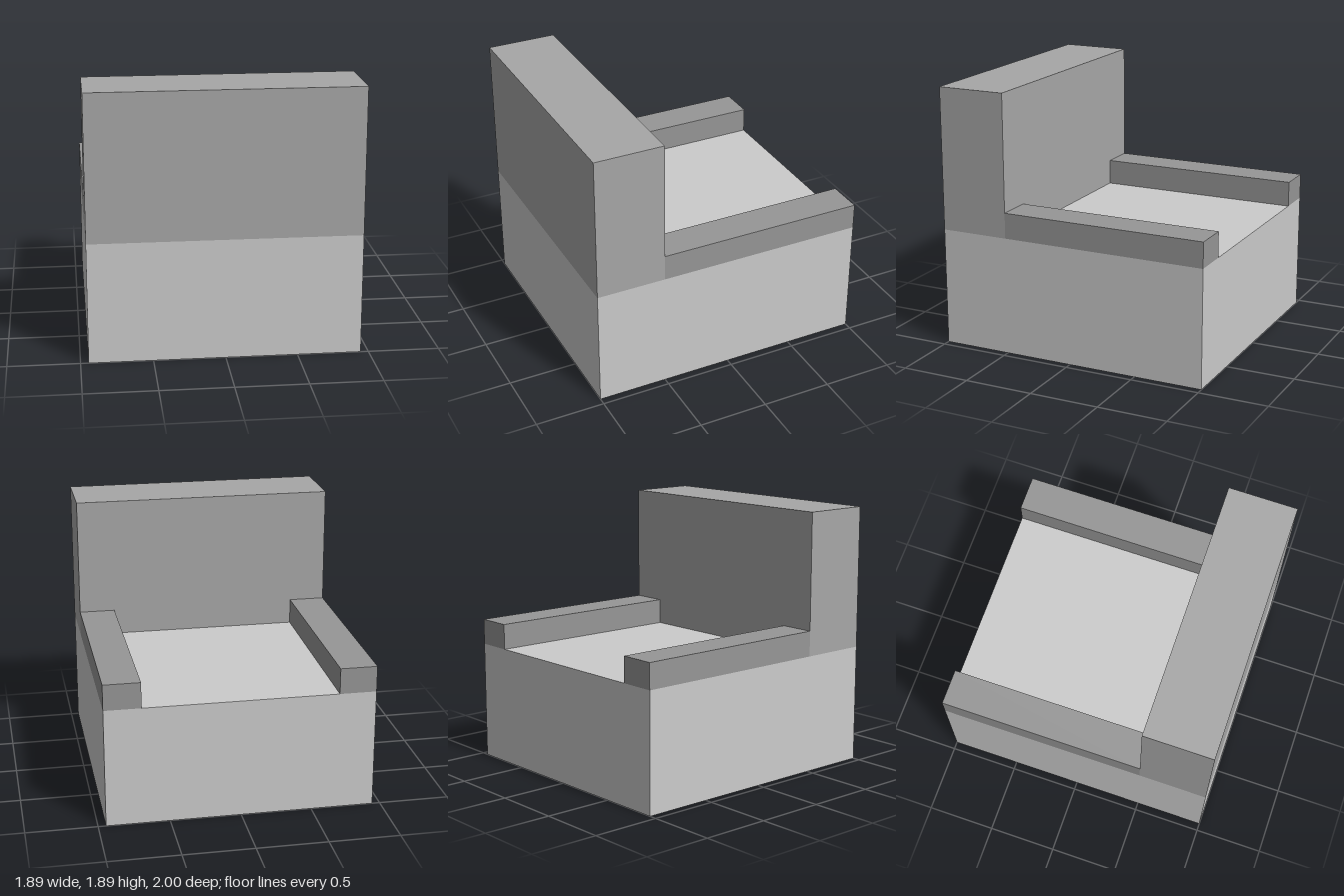
import * as THREE from 'three';

// Box given by its lower and upper corners
function block(name, color, [x0, y0, z0], [x1, y1, z1]) {
  const geometry = new THREE.BoxGeometry(x1 - x0, y1 - y0, z1 - z0);
  const mesh = new THREE.Mesh(geometry, new THREE.MeshStandardMaterial({ color }));
  mesh.position.set((x0 + x1) / 2, (y0 + y1) / 2, (z0 + z1) / 2);
  mesh.name = name;
  return mesh;
}

export function createModel() {
  const armchair = new THREE.Group();
  armchair.name = 'armchair';

  const halfWidth = 0.945, armInner = 0.685;
  const seatTop = 0.855, armTop = 1.04, backTop = 1.89;
  const backFace = 0.5;

  // Seat block, open towards -z
  armchair.add(block('seat', 0xcccccc, [-halfWidth, 0, -1], [halfWidth, seatTop, 1]));

  // Thick backrest across the full width
  armchair.add(block('backrest', 0xa7a7a7, [-halfWidth, seatTop, backFace], [halfWidth, backTop, 1]));

  // Low armrests running from the backrest to the seat's edge
  armchair.add(block('leftArmrest', 0x969696, [armInner, seatTop, -1], [halfWidth, armTop, backFace]));
  armchair.add(block('rightArmrest', 0x969696, [-halfWidth, seatTop, -1], [-armInner, armTop, backFace]));

  return armchair;
}
